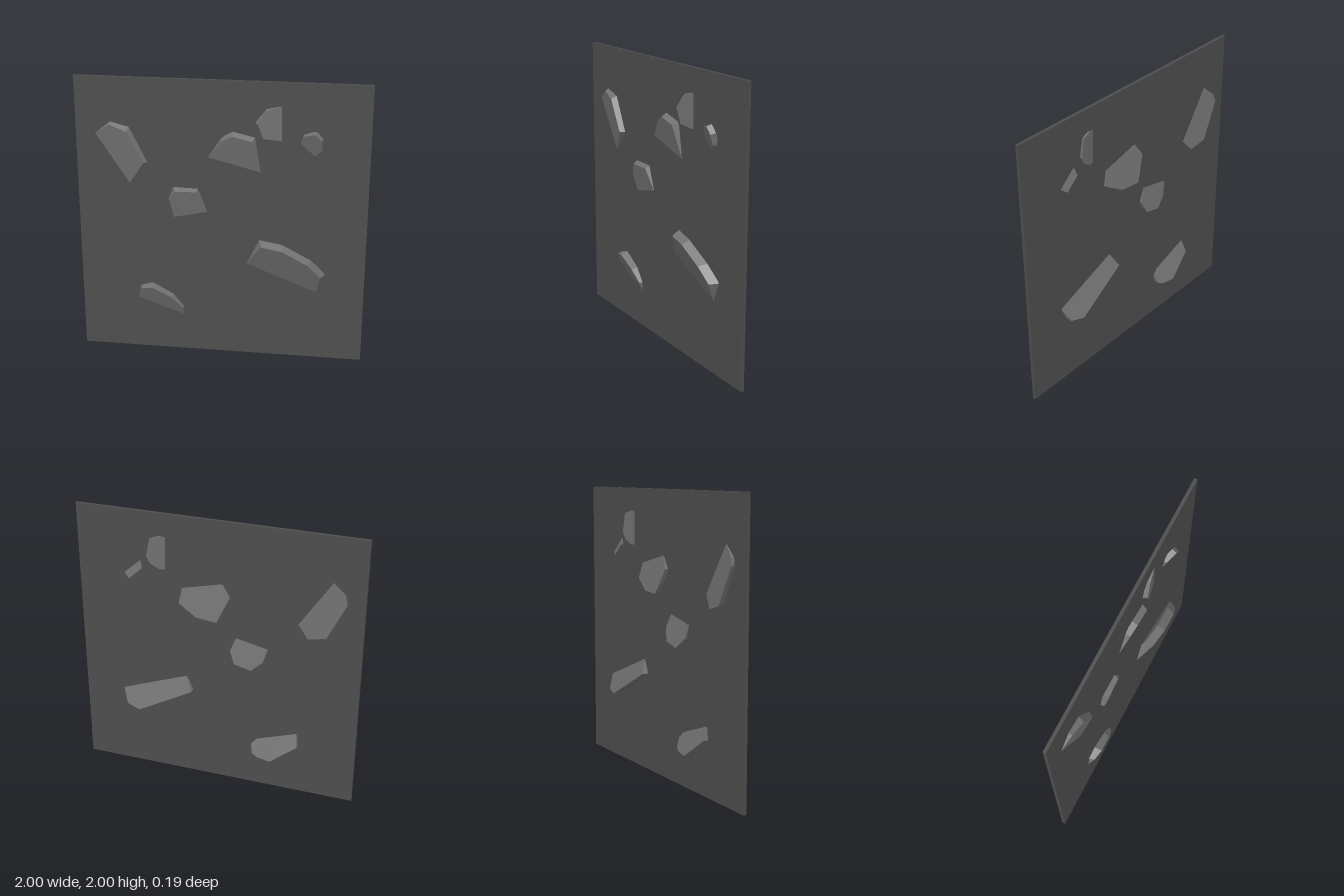
import * as THREE from 'three';
import { ConvexGeometry } from 'three/addons/geometries/ConvexGeometry.js';

const PLATE = 0.022; // wall thickness, front surface at z = 0
const BEVEL = 0.9;   // front face of a stone relative to its back face

const wallMaterial = new THREE.MeshStandardMaterial({ color: 0x4d4d4d });
const stoneMaterial = new THREE.MeshStandardMaterial({ color: 0x707070, flatShading: true });

// A stone is a tilted slab stuck through the wall. Its front face leaves the wall
// along the line a-b and rises by slope on the left of that line; the parallel back
// face leaves the wall further uphill, by shift. The outline holds the other corners.
function makeStone(name, slope, shift, a, b, outline) {
  const start = new THREE.Vector2(...a);
  const end = new THREE.Vector2(...b);
  const middle = start.clone().lerp(end, 0.5);
  const uphill = new THREE.Vector2(start.y - end.y, end.x - start.x).normalize();
  const corners = outline.map((p) => new THREE.Vector2(...p));
  const lift = (p, z) => new THREE.Vector3(p.x, p.y, z + slope * p.clone().sub(start).dot(uphill));

  const front = [start, end, ...corners.map((p) => middle.clone().lerp(p, BEVEL))];
  const back = [start, end, ...corners];
  const points = [
    ...front.map((p) => lift(p, 0)),
    ...back.map((p) => lift(p, -PLATE - slope * shift)),
  ];
  const stone = new THREE.Mesh(new ConvexGeometry(points), stoneMaterial);
  stone.name = name;
  return stone;
}

export function createModel() {
  const model = new THREE.Group();
  model.name = 'wallWithStones';

  // Flat square wall
  const wall = new THREE.Mesh(new THREE.BoxGeometry(2, 2, PLATE), wallMaterial);
  wall.name = 'wall';
  wall.position.set(0, 1, -PLATE / 2);
  model.add(wall);

  // Faceted stones poking out on both sides
  model.add(
    makeStone('largeStone', 0.44, 0.11, [0.18, 0.7], [0.67, 0.51],
      [[0.27, 0.89], [0.43, 0.87], [0.63, 0.76], [0.73, 0.65], [0.57, 0.49], [0.32, 0.63]]),
    makeStone('lowStone', 0.42, 0.09, [-0.595, 0.39], [-0.27, 0.275],
      [[-0.58, 0.49], [-0.49, 0.51], [-0.34, 0.43], [-0.255, 0.335], [-0.31, 0.255], [-0.41, 0.25]]),
    makeStone('centreStone', 0.2, 0.1, [-0.33, 1.02], [-0.095, 1.07],
      [[-0.37, 1.16], [-0.33, 1.24], [-0.16, 1.24], [-0.13, 0.98], [-0.25, 0.95]]),
    makeStone('upperStone', 0.23, 0.1, [-0.09, 1.465], [0.27, 1.375],
      [[0, 1.61], [0.08, 1.655], [0.23, 1.62], [0.14, 1.3], [-0.01, 1.29]]),
    makeStone('leftStone', 0.2, 0.11, [-0.865, 1.605], [-0.635, 1.255],
      [[-0.76, 1.7], [-0.63, 1.655], [-0.505, 1.41], [-0.76, 1.29], [-0.885, 1.55]]),
    makeStone('topStone', 0.2, 0.04, [0.41, 1.6], [0.405, 1.84],
      [[0.275, 1.605], [0.23, 1.72], [0.3, 1.82], [0.47, 1.82], [0.495, 1.69], [0.47, 1.64]]),
    makeStone('smallStone', 0.4, 0.05, [0.535, 1.59], [0.63, 1.505],
      [[0.55, 1.655], [0.64, 1.68], [0.685, 1.63], [0.685, 1.55]]),
  );
  return model;
}
